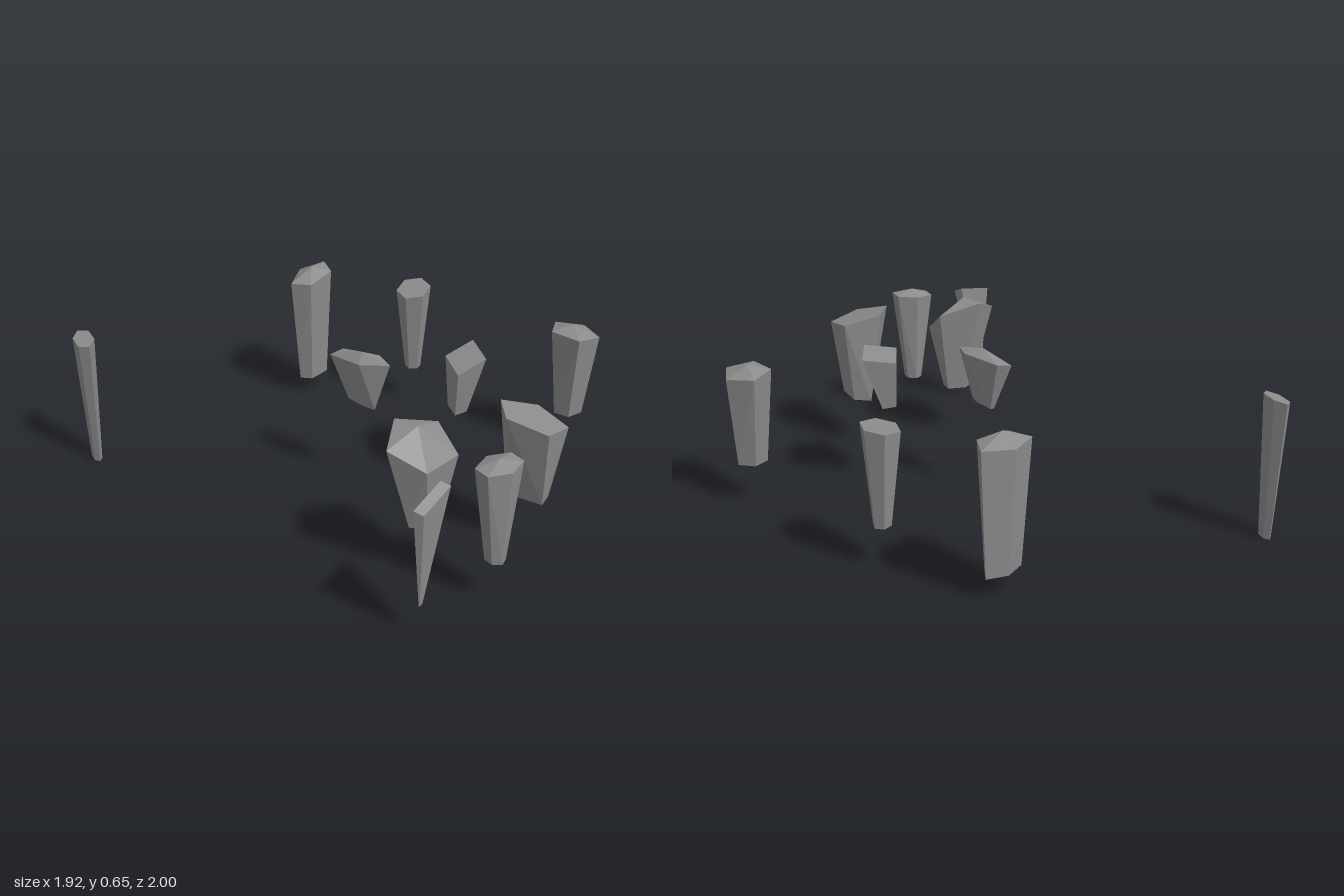
import * as THREE from 'three';
import { ConvexGeometry } from 'three/addons/geometries/ConvexGeometry.js';

const { degToRad, mapLinear } = THREE.MathUtils;

// A regular polygon, turned (degrees) and sheared, then fitted to the -1..1 square
function outline(sides, turn, skew) {
  const points = [];
  for (let i = 0; i < sides; i++) {
    const a = degToRad(turn) + (i / sides) * Math.PI * 2;
    points.push(new THREE.Vector2(Math.cos(a) + skew * Math.sin(a), Math.sin(a)));
  }
  const { min, max } = new THREE.Box2().setFromPoints(points);
  return points.map((p) => new THREE.Vector2(
    mapLinear(p.x, min.x, max.x, -1, 1),
    mapLinear(p.y, min.y, max.y, -1, 1),
  ));
}

// A faceted shard: tilted top with an optional crest, narrowing to a level foot
// at: centre x, z; half: half width, half depth; top: height, rise to +x, rise to +z
// foot: height, width scale, depth scale; shift: foot offset in x, z
function shardGeometry({ at, half, sides, turn = 90, skew = 0, top, crest = 0, foot, shift = [0, 0] }) {
  const [x, z] = at;
  const [w, d] = half;
  const corners = [];
  for (const p of outline(sides, turn, skew)) {
    corners.push(
      new THREE.Vector3(x + p.x * w, top[0] + p.x * top[1] + p.y * top[2], z + p.y * d),
      new THREE.Vector3(x + shift[0] + p.x * w * foot[1], foot[0], z + shift[1] + p.y * d * foot[2]),
    );
  }
  if (crest > 0) corners.push(new THREE.Vector3(x, top[0] + crest, z));
  return new ConvexGeometry(corners);
}

export function createModel() {
  const group = new THREE.Group();
  group.name = 'rockShards';
  const stone = new THREE.MeshStandardMaterial({ color: 0x8c8c8c });
  stone.name = 'grey stone';

  const addShard = (name, spec) => {
    const mesh = new THREE.Mesh(shardGeometry(spec), stone);
    mesh.name = name;
    group.add(mesh);
  };

  // Back row
  addShard('backRightNeedle', { at: [-0.92, -0.915], half: [0.043, 0.085], sides: 6, skew: -0.25,
    top: [0.59, 0.01, 0], foot: [0, 0.47, 0.5] });
  addShard('backPillar', { at: [0.237, -0.91], half: [0.123, 0.09], sides: 5, turn: -50, skew: -0.5,
    top: [0.6, 0.01, 0], crest: 0.04, foot: [0.085, 0.69, 0.55] });
  addShard('backLeftPillar', { at: [0.57, -0.555], half: [0.08, 0.095], sides: 6, skew: -0.2,
    top: [0.575, 0.015, 0], foot: [0.175, 0.47, 0.45] });

  // Middle
  addShard('middleChip', { at: [-0.07, -0.05], half: [0.07, 0.13], sides: 5, skew: 0.9,
    top: [0.6, 0.01, 0], crest: 0.035, foot: [0.39, 0.25, 0.58] });
  addShard('middleLeftChip', { at: [0.305, 0.17], half: [0.11, 0.09], sides: 4, turn: 45, skew: -0.5,
    top: [0.59, 0.025, 0.01], foot: [0.36, 0.42, 0.5], shift: [-0.037, 0] });
  addShard('leftPillar', { at: [0.865, 0.21], half: [0.095, 0.11], sides: 5, turn: -90,
    top: [0.575, -0.01, 0], crest: 0.03, foot: [0.18, 0.66, 0.5] });

  // Front row
  addShard('frontRightBlock', { at: [-0.265, 0.605], half: [0.145, 0.105], sides: 5, turn: 180,
    top: [0.57, -0.02, -0.07], crest: 0.08, foot: [0.22, 0.45, 0.43], shift: [0.02, 0.01] });
  addShard('frontLeftBlock', { at: [0.192, 0.715], half: [0.12, 0.135], sides: 5, turn: 38, skew: 0.1,
    top: [0.59, -0.03, -0.02], foot: [0.22, 0.45, 0.78], shift: [0.03, -0.03] });
  addShard('frontRightFang', { at: [-0.45, 0.94], half: [0.095, 0.045], sides: 4, turn: 70, skew: -1.5,
    top: [0.575, 0, -0.025], foot: [0.13, 0.1, 0.1], shift: [-0.045, 0] });
  addShard('frontPillar', { at: [-0.135, 0.925], half: [0.085, 0.075], sides: 6,
    top: [0.595, 0.005, 0], crest: 0.025, foot: [0.18, 0.4, 0.6] });

  return group;
}
